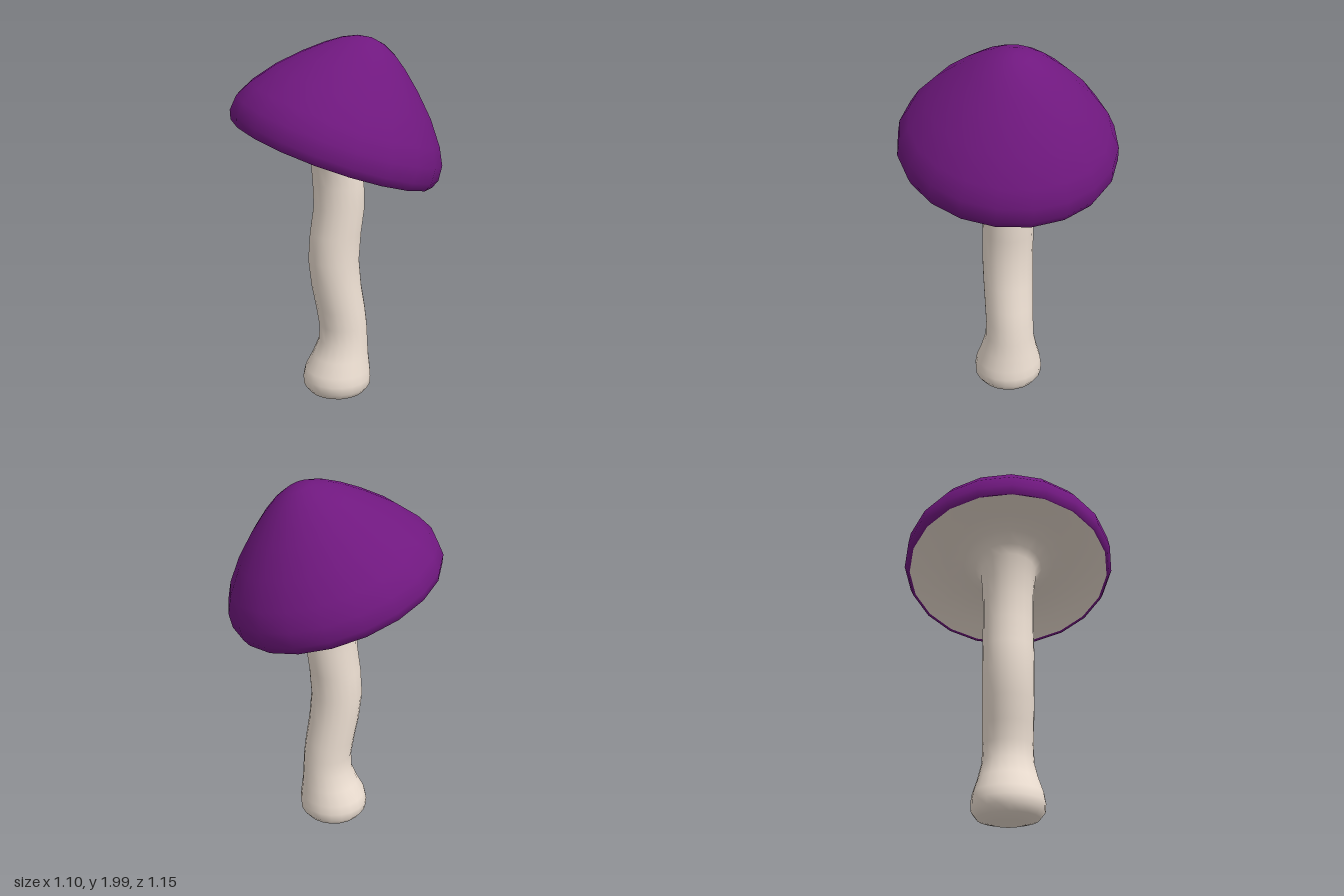
import * as THREE from 'three';
import { mergeVertices } from 'three/addons/utils/BufferGeometryUtils.js';

const SIDES = 20;
const TILT = -0.335; // lean of the cap about z
const RIM = new THREE.Vector2(-0.025, 1.4); // centre of the cap's rim

// Loft of rings, each given as [centre x, centre y, radius, tilt about z]
function loft(rings) {
  const profile = rings.map(([, y, r]) => new THREE.Vector2(r, y));
  const geo = new THREE.LatheGeometry(profile, SIDES);
  const pos = geo.attributes.position;
  for (let i = 0; i < pos.count; i++) {
    const [cx, cy, , tilt] = rings[i % rings.length];
    const x = pos.getX(i);
    pos.setX(i, cx + x * Math.cos(tilt));
    pos.setY(i, cy + x * Math.sin(tilt));
  }
  // Weld the seam so the shading is smooth all round
  geo.deleteAttribute('uv');
  geo.deleteAttribute('normal');
  const welded = mergeVertices(geo, 1e-5);
  welded.computeVertexNormals();
  return welded;
}

// Ring on the tilted cap axis, at height h above the rim plane
function capRing([r, h]) {
  return [RIM.x - Math.sin(TILT) * h, RIM.y + Math.cos(TILT) * h, r, TILT];
}

function part(name, geometry, color) {
  const material = new THREE.MeshStandardMaterial({ color, side: THREE.DoubleSide });
  const mesh = new THREE.Mesh(geometry, material);
  mesh.name = name;
  return mesh;
}

export function createModel() {
  const group = new THREE.Group();
  group.name = 'mushroom';

  // Wavy stem with a bulbous foot, flaring out into the hollow underside
  const stem = [
    [0, 0.005, 0, 0], [0, 0.01, 0.09, 0], [0, 0.03, 0.16, 0], [0, 0.065, 0.187, 0],
    [0, 0.11, 0.19, 0], [0.004, 0.16, 0.182, 0], [0.02, 0.24, 0.157, 0],
    [0.036, 0.33, 0.136, 0], [0.034, 0.42, 0.133, 0], [0.02, 0.52, 0.135, 0],
    [-0.003, 0.65, 0.137, 0], [-0.018, 0.8, 0.139, 0], [-0.008, 0.95, 0.139, 0],
    [0.012, 1.1, 0.138, 0], [0.008, 1.22, 0.139, -0.1], [-0.001, 1.32, 0.143, -0.24],
  ];
  const underside = [
    [0.153, 0], [0.185, 0.045], [0.25, 0.078], [0.35, 0.08], [0.46, 0.055], [0.553, 0.004],
  ].map(capRing);
  group.add(part('stemAndUnderside', loft([...stem, ...underside]), 0xf0e2d5));

  // Tilted bell-shaped cap
  const cap = [
    [0.545, 0.006], [0.557, 0], [0.575, 0.045], [0.567, 0.125], [0.52, 0.213],
    [0.427, 0.332], [0.315, 0.442], [0.22, 0.522], [0.145, 0.574],
    [0.072, 0.608], [0, 0.62],
  ].map(capRing);
  group.add(part('cap', loft(cap), 0x70187f));

  return group;
}
